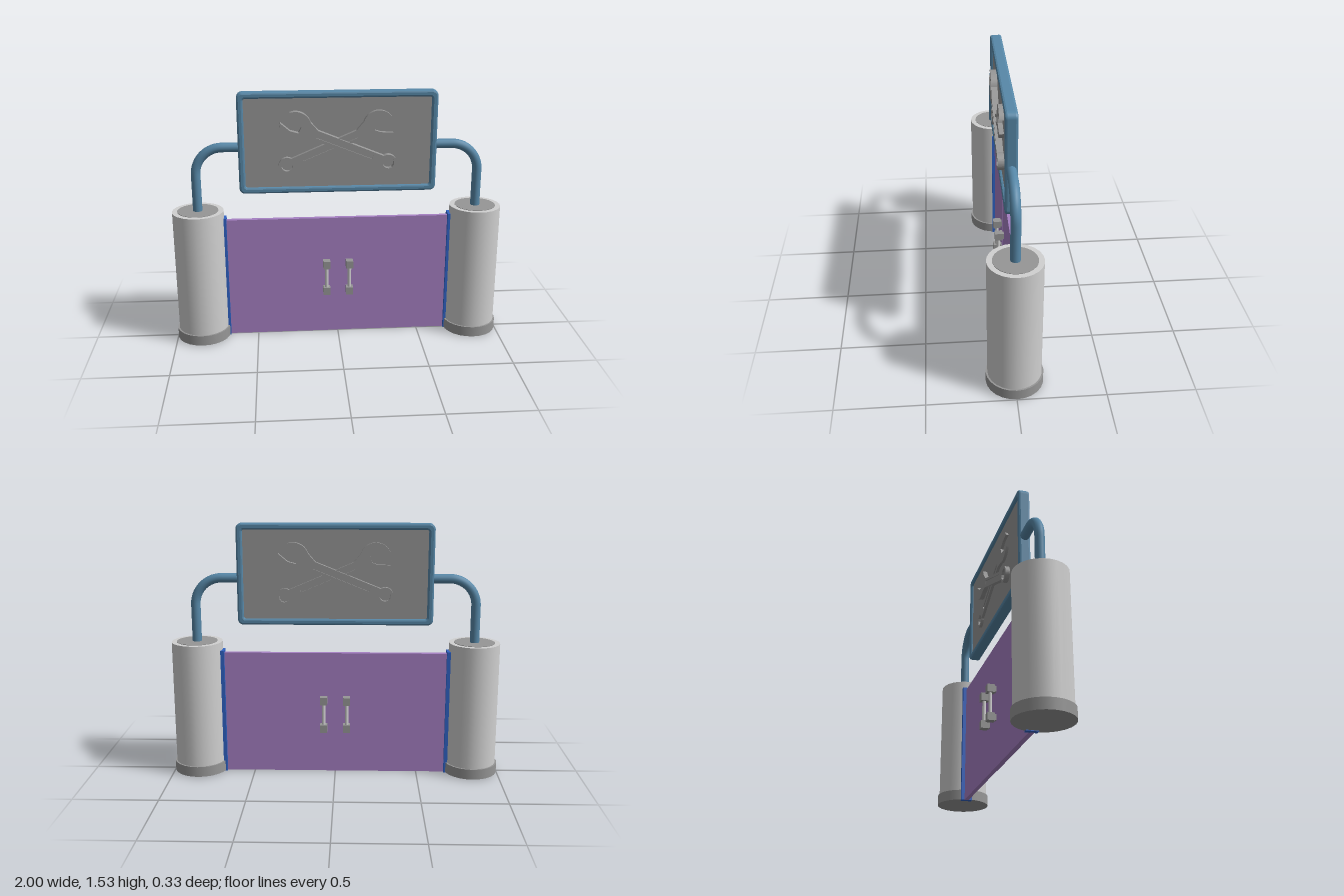
import * as THREE from 'three';

const mat = (name, color, side = THREE.FrontSide) => {
  const m = new THREE.MeshStandardMaterial({ color, side });
  m.name = name;
  return m;
};

export function createModel() {
  const root = new THREE.Group();
  root.name = 'workshopGate';
  const lightGrey = mat('lightGrey', 0xd0d0d0);
  const grey = mat('midGrey', 0x969696);
  const steelBlue = mat('steelBlue', 0x5788a8);
  const blue = mat('brightBlue', 0x2f62c4);
  const purple = mat('purple', 0xa57fc2);

  const add = (parent, name, geo, material, x = 0, y = 0, z = 0) => {
    const mesh = new THREE.Mesh(geo, material);
    mesh.name = name;
    mesh.position.set(x, y, z);
    parent.add(mesh);
    return mesh;
  };
  const box = (w, h, d) => new THREE.BoxGeometry(w, h, d);
  const cyl = (r, h, n = 24) => new THREE.CylinderGeometry(r, r, h, n);

  const colX = 0.837, doorZ = -0.014;

  // Columns, hinge strips, bent pipes and doors, one of each per side
  for (const s of [-1, 1]) {
    const side = s > 0 ? 'left' : 'right';
    add(root, side + 'ColumnBase', cyl(0.163, 0.063), grey, s * colX, 0.0355);
    add(root, side + 'Column', cyl(0.153, 0.755), lightGrey, s * colX, 0.4425);
    add(root, side + 'ColumnCap', cyl(0.122, 0.004), grey, s * colX, 0.8205);
    add(root, side + 'HingeStrip', box(0.03, 0.77, 0.068), blue, s * 0.686, 0.385, doorZ);

    const k = 0.16, c = k * 0.45, y = 1.207;
    const path = new THREE.CurvePath();
    const v = (px, py) => new THREE.Vector3(s * px, py, 0);
    path.add(new THREE.LineCurve3(v(colX, 0.8), v(colX, y - k)));
    path.add(new THREE.CubicBezierCurve3(v(colX, y - k), v(colX, y - c), v(colX - c, y), v(colX - k, y)));
    path.add(new THREE.LineCurve3(v(colX - k, y), v(0.565, y)));
    add(root, side + 'SignPipe', new THREE.TubeGeometry(path, 36, 0.028, 14), steelBlue);

    // One leaf stands slightly proud in front, giving the centre seam
    const proud = s < 0 ? 0.003 : 0;
    add(root, side + 'Door', box(0.68, 0.755, 0.026 + proud), purple, s * 0.34, 0.3775, doorZ + proud / 2);

    // Handles on both faces of the door
    for (const f of [-1, 1]) {
      const handle = new THREE.Group();
      handle.name = side + (f > 0 ? 'FrontHandle' : 'BackHandle');
      handle.position.set(s * 0.07, 0.378, doorZ + f * 0.047);
      add(handle, 'handleBar', cyl(0.011, 0.14, 12), lightGrey);
      for (const t of [-1, 1]) add(handle, 'handleBlock', box(0.043, 0.048, 0.046), grey, 0, t * 0.087, -f * 0.0005 * 2);
      for (const t of [-1, 1]) add(handle, 'handleFoot', box(0.03, 0.036, 0.024), grey, 0, t * 0.087, -f * 0.026);
      root.add(handle);
    }
  }

  // Sign frame with rounded corners and bevelled edges
  const sign = new THREE.Group();
  sign.name = 'sign';
  sign.position.y = 1.23;
  root.add(sign);
  const roundRect = (shape, w, h, r) => {
    const x = w / 2, y = h / 2, q = Math.PI / 2;
    shape.absarc(x - r, y - r, r, 0, q);
    shape.absarc(-x + r, y - r, r, q, 2 * q);
    shape.absarc(-x + r, -y + r, r, 2 * q, 3 * q);
    shape.absarc(x - r, -y + r, r, 3 * q, 4 * q);
    shape.closePath();
    return shape;
  };
  const frame = roundRect(new THREE.Shape(), 1.166, 0.604, 0.034);
  frame.holes.push(roundRect(new THREE.Path(), 1.092, 0.53, 0.012));
  add(sign, 'signFrame', new THREE.ExtrudeGeometry(frame, {
    depth: 0.044, bevelEnabled: true, bevelThickness: 0.012, bevelSize: 0.011,
    bevelOffset: -0.011, bevelSegments: 2, curveSegments: 5,
  }), steelBlue, 0, 0, -0.022);
  add(sign, 'signPanel', box(1.11, 0.55, 0.036), grey);

  // Wrench outline: ring end at the origin, open jaw at x = 0.6
  const deg = Math.PI / 180, L = 0.585, R = 0.093, tilt = -22 * deg;
  const wrench = new THREE.Shape();
  wrench.absarc(0, 0, 0.049, 36 * deg, 324 * deg);
  wrench.lineTo(L - 0.13, -0.03);
  wrench.absarc(L, 0, R, -140 * deg, tilt - 26 * deg);
  for (const [x, y] of [[0.01, -0.036], [-0.024, -0.024], [-0.034, 0.012], [0.01, 0.036]]) {
    wrench.lineTo(L + x * Math.cos(tilt) - y * Math.sin(tilt), x * Math.sin(tilt) + y * Math.cos(tilt));
  }
  wrench.absarc(L, 0, R, tilt + 26 * deg, 140 * deg);
  wrench.lineTo(L - 0.13, 0.03);
  wrench.closePath();
  const ringHole = new THREE.Path();
  for (let i = 0; i < 12; i++) {
    const a = -i * 30 * deg;
    ringHole[i ? 'lineTo' : 'moveTo'](0.034 * Math.cos(a), 0.034 * Math.sin(a));
  }
  ringHole.closePath();
  const slot = new THREE.Path();
  slot.moveTo(0.1, -0.013);
  slot.lineTo(0.1, 0.013);
  slot.lineTo(0.45, 0.013);
  slot.lineTo(0.45, -0.013);
  slot.closePath();
  wrench.holes.push(ringHole, slot);

  // Crossed wrenches on each face of the sign
  const addWrench = (parent, name, x, y, angle, top) => {
    const g = new THREE.Group();
    g.name = name;
    g.position.set(x, y, 0.016);
    g.rotation.z = angle;
    const depth = top - 0.016;
    add(g, 'wrenchBody', new THREE.ExtrudeGeometry(wrench, { depth, bevelEnabled: false, curveSegments: 14 }), grey);
    add(g, 'wrenchGrooveFloor', box(0.36, 0.03, depth - 0.007), grey, 0.275, 0, (depth - 0.007) / 2);
    parent.add(g);
  };
  for (const f of [1, -1]) {
    const emblem = new THREE.Group();
    emblem.name = f > 0 ? 'frontWrenches' : 'backWrenches';
    if (f < 0) emblem.rotation.y = Math.PI;
    const lift = f > 0 ? 0 : -0.01;
    addWrench(emblem, 'lowerWrench', -0.3, -0.13, 23 * deg, 0.045 + lift);
    addWrench(emblem, 'upperWrench', 0.295, -0.12, 158 * deg, 0.056 + lift);
    sign.add(emblem);
  }
  return root;
}
